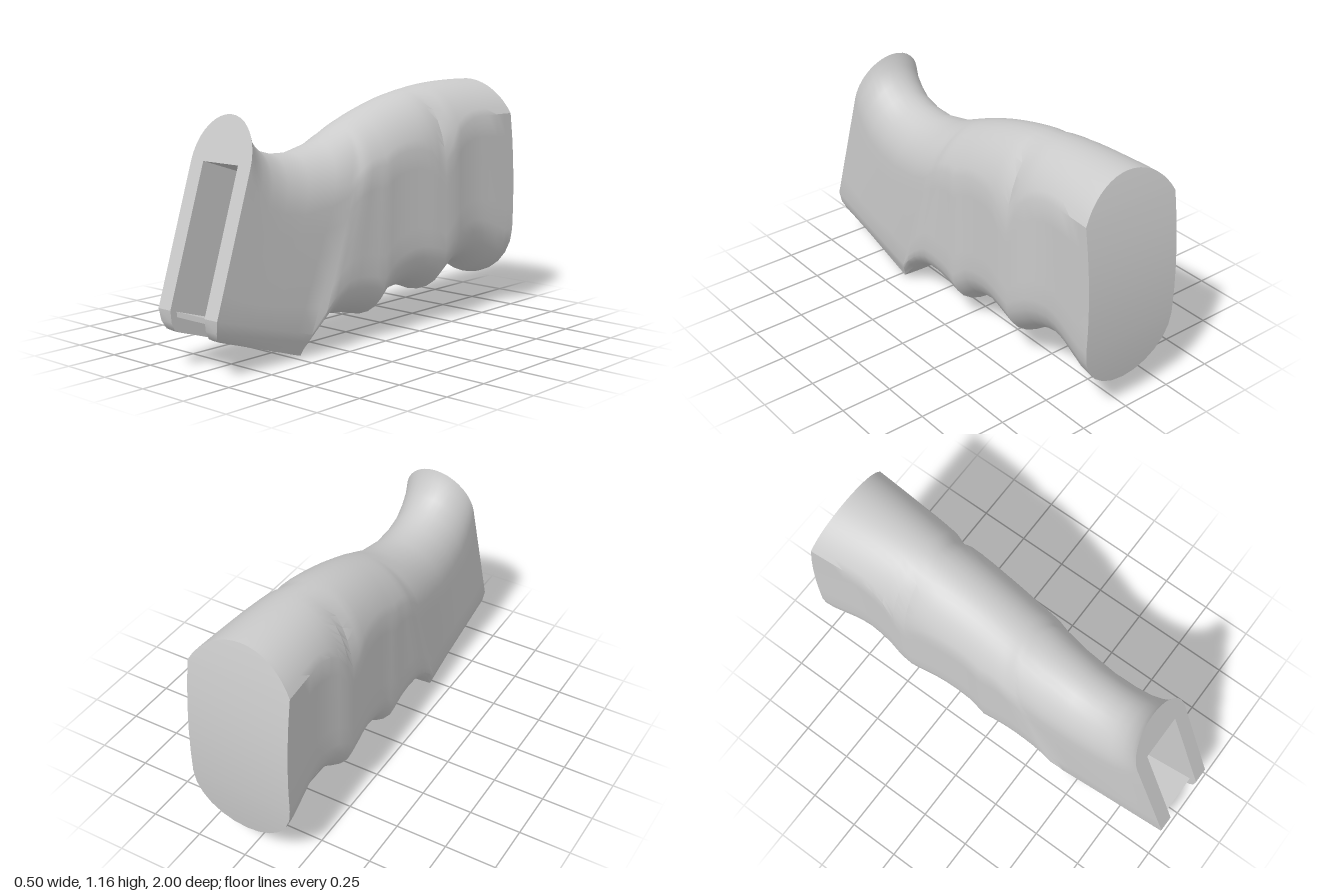
import * as THREE from 'three';
import { mergeGeometries, toCreasedNormals } from 'three/addons/utils/BufferGeometryUtils.js';

const { lerp, mapLinear, clamp } = THREE.MathUtils;
const SLOT = 0.108; // half width of the mounting slot

// Crown line [z, y] over the front block
const SADDLE = [[0.73, 1.1], [0.71, 1.04], [0.66, 0.98], [0.6, 0.935],
  [0.5, 0.908], [0.37, 0.903], [0.2, 0.94], [0.1, 0.985]];
// Toe of the block, [x, y, z]
const TOE = [[0.15, 0.165, 0.95], [0.16, 0.18, 0.978], [0.175, 0.215, 0.994], [0.185, 0.27, 1]];
// One underside curve per finger: [z, y, depth of the side cut below the crown]
const FINGERS = [
  [[0.47, 0.003, 0.285], [0.34, 0.1, 0.24], [0.25, 0.13, 0.22], [0.1, 0.12, 0.21], [-0.03, 0.09, 0.225]],
  [[-0.03, 0.09, 0.225], [-0.12, 0.16, 0.21], [-0.25, 0.19, 0.23], [-0.35, 0.18, 0.275], [-0.46, 0.14, 0.42]],
  [[-0.46, 0.14, 0.42], [-0.58, 0.22, 0.22], [-0.7, 0.245, 0.17], [-0.8, 0.22, 0.167], [-0.92, 0.155, 0.166], [-0.97, 0.15, 0.165]],
];

// Surface through rows of [x, y, z] points
function grid(rows) {
  const n = rows[0].length, index = [];
  for (let i = 0; i < rows.length - 1; i++) {
    for (let j = 0; j < n - 1; j++) {
      const a = i * n + j, b = a + n;
      index.push(a, b, a + 1, a + 1, b, b + 1);
    }
  }
  const g = new THREE.BufferGeometry();
  g.setAttribute('position', new THREE.Float32BufferAttribute(rows.flat(2), 3));
  g.setIndex(index);
  return g;
}

const mirrorX = ([x, y, z]) => [-x, y, z];
const fullRing = (half) => [...half, ...half.slice(0, -1).reverse().map(mirrorX)];

// Flat side from point p up to the cut, then the rounded crown
function sideAndCrown(p, yt, W, H, h, zAt) {
  const a0 = Math.asin(1 - h / H), w = W * Math.cos(a0), pts = [];
  for (let k = 1; k <= 5; k++) {
    const y = lerp(p[1], yt - h, k / 5);
    pts.push([lerp(p[0], w, k / 5), y, zAt(y)]);
  }
  for (let k = 1; k <= 9; k++) {
    const a = lerp(a0, Math.PI / 2, k / 9), y = yt - H + H * Math.sin(a);
    pts.push([W * Math.cos(a), y, zAt(y)]);
  }
  return pts;
}

// Half section of the front block, leaning like the front face
function blockHalf([zt, yt]) {
  const t = (0.73 - zt) / 0.63, h = lerp(0.21, 0.285, t);
  const edge = TOE.map(([x, y, z], i) => [x, lerp(y, lerp(0.01, 0.105, i / 3), t), lerp(z, lerp(0.47, 0.43, i / 3), t)]);
  const c = edge[3];
  const zAt = (y) => lerp(c[2], zt, (y - c[1]) / (yt - c[1]));
  return [...edge, ...sideAndCrown(c, yt, 0.185 + 0.02 * t ** 3, h, h, zAt)];
}

// Half section of the finger swells; the butt end bows backwards
function fingerHalf({ x: zb, y: yb, z: h }) {
  const zt = zb > -0.03 ? mapLinear(zb, 0.47, -0.03, 0.1, -0.045) : mapLinear(zb, -0.03, -0.97, -0.045, -0.93);
  const yt = 1.165 - 0.229 * Math.abs(zt + 0.8) ** 2.3;
  const W = zb > 0.25 ? mapLinear(zb, 0.25, 0.47, 0.229, 0.205)
    : zb > -0.46 ? mapLinear(zb, 0.25, -0.46, 0.229, 0.245) : mapLinear(zb, -0.46, -0.97, 0.245, 0.29);
  const r = zb > 0.25 ? 0.19 - 0.28 * (zb - 0.25) : mapLinear(zb, 0.25, -0.97, 0.19, 0.25);
  const H = Math.max(0.33, h), w = W * Math.sqrt(1 - (1 - h / H) ** 2);
  const bulge = 0.05 * clamp((-0.6 - zb) / 0.37, 0, 1);
  const zAt = (y) => {
    const f = (y - yb) / (yt - yb);
    return lerp(zb, zt, f) - bulge * 4 * f * (1 - f);
  };
  const pts = [];
  for (let k = 0; k <= 6; k++) {
    const a = (k / 6) * Math.PI / 2, y = yb + r * (1 - Math.cos(a));
    pts.push([w * Math.sin(a), y, zAt(y)]);
  }
  return [...pts, ...sideAndCrown(pts[6], yt, W, H, h, zAt)];
}

// Flat outline whose points are then placed by a rule
function sheet(points, place) {
  const g = new THREE.ShapeGeometry(new THREE.Shape(points.map((p) => new THREE.Vector2(...p))));
  const pos = g.attributes.position;
  for (let i = 0; i < pos.count; i++) pos.setXYZ(i, ...place(pos.getX(i), pos.getY(i)));
  g.computeVertexNormals();
  return g;
}

export function createModel() {
  const group = new THREE.Group();
  const material = new THREE.MeshStandardMaterial({ color: 0xcccccc, side: THREE.DoubleSide });
  const add = (name, geometry) => {
    const mesh = new THREE.Mesh(geometry, material);
    mesh.name = name;
    group.add(mesh);
  };

  // Grip shell: front block with open underside, then the finger swells
  const blocks = SADDLE.map(blockHalf);
  const dip = (x) => 0.003 + 0.007 * (x / 0.15) ** 2;
  const joint = [...[0, 0.05, 0.1].map((x) => [x, dip(x), 0.47]), ...blocks[blocks.length - 1]];
  const fingers = [joint];
  for (const points of FINGERS) {
    const curve = new THREE.CatmullRomCurve3(points.map((p) => new THREE.Vector3(...p)));
    fingers.push(...curve.getPoints((points.length - 1) * 2).slice(1).map(fingerHalf));
  }
  const shell = mergeGeometries([grid(blocks.map(fullRing)), grid(fingers.map(fullRing))]);
  add('gripShell', toCreasedNormals(shell, 0.5));

  // Butt: gently bowed end face
  const end = fingers[fingers.length - 1];
  add('buttFace', toCreasedNormals(grid([end, end.map(mirrorX)]), 0.5));

  // Slanted front rim around the slot
  const rim = [[SLOT, 0.27], ...fullRing(blocks[0].slice(3)).map(([x, y]) => [x, y]),
    [-SLOT, 0.27], [-SLOT, 0.895], [SLOT, 0.895]];
  add('frontRim', sheet(rim, (x, y) => [x, y, 1 - (y - 0.27) * 0.27 / 0.83]));

  // Underside with the recess cut out
  const back = [0.15, 0.1, 0.05, 0, -0.05, -0.1, -0.15].map((x) => [x, 0.47]);
  const under = [[0.15, 0.95], ...back, [-0.15, 0.95], [-SLOT, 0.95], [-SLOT, 0.6], [SLOT, 0.6], [SLOT, 0.95]];
  add('underside', sheet(under, (x, z) => [x, z < 0.5 ? dip(x) : mapLinear(z, 0.47, 0.95, 0.01, 0.165), z]));

  // Cheeks either side of the slot: rounded toe and flat inner wall
  const wall = [[0.795, 0.895], ...TOE.map(([, y, z]) => [z, y]).reverse(),
    [0.6, 0.052], [0.63, 0.1], [0.55, 0.13], [0.35, 0.75]];
  for (const s of [1, -1]) {
    const side = s > 0 ? 'left' : 'right';
    const outer = TOE.map(([x, y, z]) => [s * x, y, z]);
    const inner = TOE.map(([, y, z]) => [s * SLOT, y, z]);
    add(side + 'Toe', toCreasedNormals(grid(s > 0 ? [inner, outer] : [outer, inner]), 0.7));
    add(side + 'SlotWall', sheet(wall, (z, y) => [s * SLOT, y, z]));
  }

  // Slot ceiling and back, and the rear wall of the recess below
  const across = (profile) => toCreasedNormals(grid(profile.map(([z, y]) => [[-SLOT, y, z], [SLOT, y, z]])), 0.3);
  add('slotLining', across([[0.795, 0.895], [0.35, 0.75], [0.55, 0.13]]));
  add('recessBack', across([[0.63, 0.1], [0.6, 0.052]]));

  // Stepped floor plate between the cheeks
  const plate = new THREE.Shape([[0.965, 0.26], [0.55, 0.13], [0.63, 0.1], [0.71, 0.125], [0.72, 0.16], [0.962, 0.235]]
    .map(([z, y]) => new THREE.Vector2(-z, y)));
  const floor = new THREE.ExtrudeGeometry(plate, { depth: 2 * SLOT, bevelEnabled: false });
  floor.translate(0, 0, -SLOT).rotateY(Math.PI / 2);
  add('slotFloor', floor);

  return group;
}
